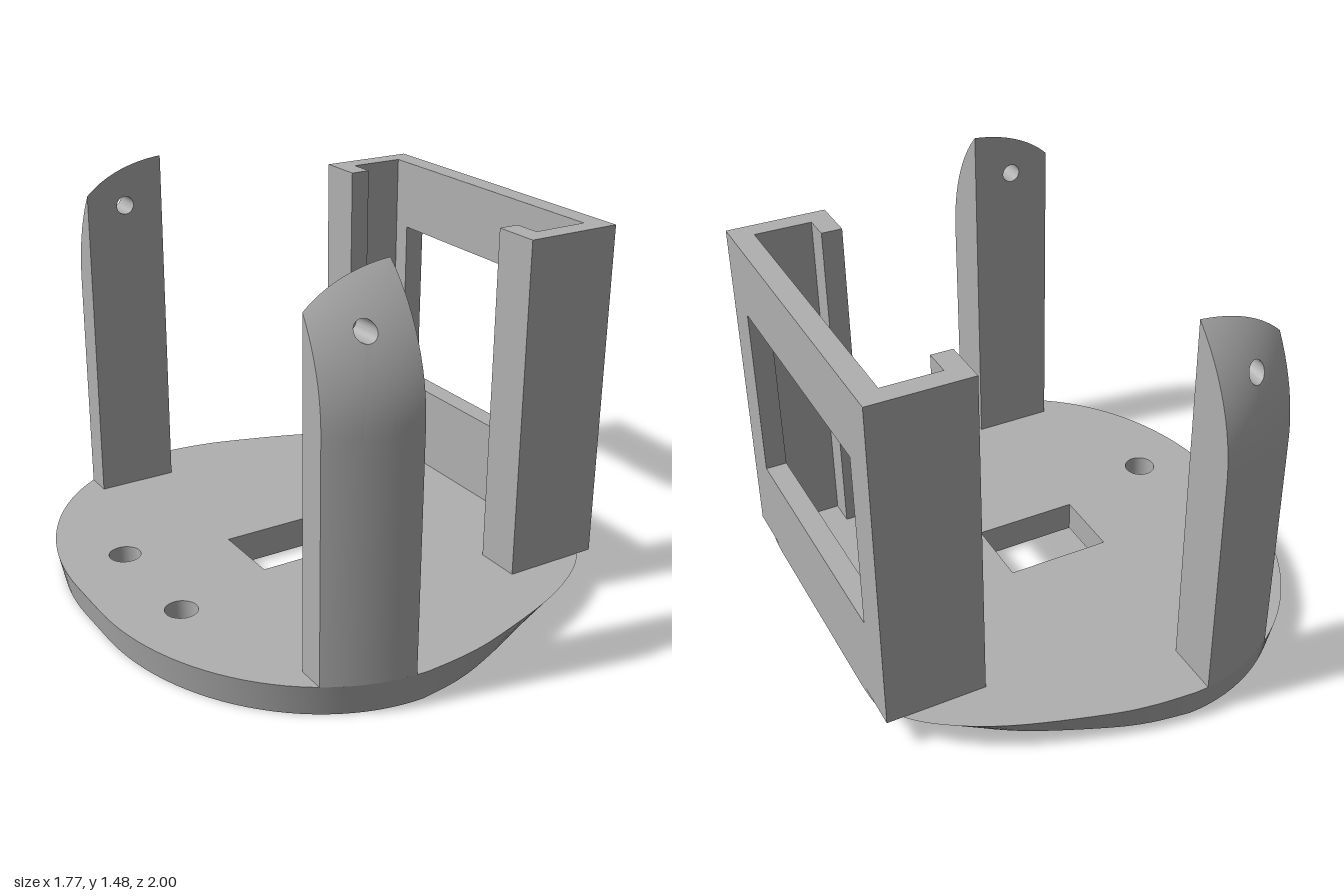
import * as THREE from 'three';
import { toCreasedNormals } from 'three/addons/utils/BufferGeometryUtils.js';

const V2 = (x, y) => new THREE.Vector2(x, y);
const lerp = THREE.MathUtils.lerp;

// Skin a sequence of closed loops of [x, y, z] points
function loft(rings, flip = false) {
  const n = rings[0].length, index = [];
  for (let k = 0; k < rings.length - 1; k++) {
    for (let i = 0; i < n; i++) {
      const j = (i + 1) % n;
      const a = k * n + i, b = k * n + j, c = (k + 1) * n + j, d = (k + 1) * n + i;
      if (flip) index.push(a, c, d, a, b, c);
      else index.push(a, d, c, a, c, b);
    }
  }
  const g = new THREE.BufferGeometry();
  g.setAttribute('position', new THREE.Float32BufferAttribute(rings.flat(2), 3));
  g.setIndex(index);
  return toCreasedNormals(g, 0.5);
}

function rect(x0, y0, x1, y1) {
  return [V2(x0, y0), V2(x1, y0), V2(x1, y1), V2(x0, y1)];
}

function circle(cx, cy, r, n = 32) {
  return Array.from({ length: n }, (_, i) => {
    const a = (i / n) * Math.PI * 2;
    return V2(cx + r * Math.cos(a), cy + r * Math.sin(a));
  });
}

// Plate dimensions
const PLATE_H = 0.12, CX = -0.12, CZ = 0.1;

// Symmetric plate outline: spline on the right, half ellipse on the left
function outline(right, a, b) {
  const half = new THREE.SplineCurve(right.map(p => V2(...p))).getPoints(36);
  for (let i = 1; i <= 28; i++) {
    const t = Math.PI / 2 * (1 + i / 28);
    half.push(V2(CX + a * Math.cos(t), CZ + b * Math.sin(t)));
  }
  return [...half, ...half.slice().reverse().map(p => V2(p.x, -p.y))];
}

export function createModel() {
  const model = new THREE.Group();
  const grey = new THREE.MeshStandardMaterial({ color: 0xb0b0b0 });
  grey.name = 'grey plastic';
  const add = (parent, name, geometry) => {
    const m = new THREE.Mesh(geometry, grey);
    m.name = name;
    parent.add(m);
    return m;
  };

  // Base plate with tapered rim, a slot and two screw holes
  const plate = new THREE.Group();
  plate.name = 'basePlate';
  model.add(plate);
  const top = outline([[0.88, 0.42], [0.87, 0.53], [0.82, 0.64], [0.7, 0.745], [0.5, 0.85],
    [0.2, 0.95], [0.04, 0.985], [CX, 1]], 0.77, 0.9);
  const bottom = outline([[0.77, 0.4], [0.755, 0.48], [0.7, 0.57], [0.6, 0.67], [0.43, 0.785],
    [0.18, 0.9], [0.03, 0.95], [CX, 0.975]], 0.745, 0.875);
  const holes = [rect(-0.25, -0.138, 0.15, 0.138), circle(-0.64, 0.235, 0.06), circle(-0.64, -0.235, 0.06)];
  const ring = (pts, y) => pts.map(p => [p.x, y, -p.y]);
  const cap = pts => {
    const s = new THREE.Shape(pts);
    s.holes = holes.map(h => new THREE.Path(h));
    return new THREE.ShapeGeometry(s);
  };
  const middle = top.map((p, i) => {
    const t = p.x > 0.86 ? 1 : 0.1 / PLATE_H;
    return V2(lerp(bottom[i].x, p.x, t), lerp(bottom[i].y, p.y, t));
  });
  add(plate, 'plateTop', cap(top).rotateX(-Math.PI / 2).translate(0, PLATE_H, 0));
  add(plate, 'plateBottom', cap(bottom).rotateX(Math.PI / 2));
  add(plate, 'plateRim', loft([ring(top, PLATE_H), ring(middle, 0.1), ring(bottom, 0)]));
  holes.forEach(h => add(plate, 'plateHoleWall', loft([ring(h, 0), ring(h, PLATE_H)])));

  // Curved posts: outer face follows the plate edge and bends inward at the top
  const X0 = -0.48, X1 = -0.17, INNER = 0.79, BEND = 0.653;
  const edge = x => CZ + 0.9 * Math.sqrt(1 - ((x - CX) / 0.77) ** 2);
  const topY = x => 1 + Math.sqrt(BEND ** 2 - (BEND - edge(x) + INNER) ** 2);
  const outerZ = (x, y) => edge(x) - (y > 1 ? BEND - Math.sqrt(BEND ** 2 - (y - 1) ** 2) : 0);
  const border = [];
  const side = (n, f) => { for (let i = 0; i < n; i++) border.push(f(i / n)); };
  side(12, t => V2(lerp(X0, X1, t), PLATE_H));
  side(36, t => V2(X1, lerp(PLATE_H, topY(X1), t)));
  side(16, t => { const x = lerp(X1, X0, t); return V2(x, topY(x)); });
  side(36, t => V2(X0, lerp(topY(X0), PLATE_H, t)));
  const hole = border.map(p => {
    const a = Math.atan2(p.y - 1.3, p.x + 0.325);
    return V2(-0.325 + 0.035 * Math.cos(a), 1.3 + 0.035 * Math.sin(a));
  });
  for (const s of [1, -1]) {
    const flat = pts => pts.map(p => [p.x, p.y, s * INNER]);
    const rings = [flat(hole)];
    for (let k = 0; k <= 24; k++) {
      rings.push(border.map((p, i) => {
        const x = lerp(hole[i].x, p.x, k / 24), y = lerp(hole[i].y, p.y, k / 24);
        return [x, y, s * outerZ(x, y)];
      }));
    }
    rings.push(flat(border), flat(hole));
    add(model, s > 0 ? 'frontPost' : 'backPost', loft(rings, s < 0));
  }

  // Holder frame: windowed outer wall and two lipped side rails
  const frame = new THREE.Group();
  frame.name = 'holderFrame';
  model.add(frame);
  const FRAME_TOP = 1.39;
  const wall = new THREE.Shape(rect(-0.64, PLATE_H, 0.64, FRAME_TOP));
  wall.holes.push(new THREE.Path(rect(-0.492, 0.45, 0.492, 1.122)));
  add(frame, 'windowWall', new THREE.ExtrudeGeometry(wall, { depth: 0.08, bevelEnabled: false })
    .rotateY(Math.PI / 2).translate(0.8, 0, 0));
  for (const s of [1, -1]) {
    const rail = new THREE.Shape([[0.8, 0.64], [0.51, 0.64], [0.51, 0.465], [0.588, 0.465],
      [0.588, 0.565], [0.8, 0.565]].map(([x, z]) => V2(x, s * z)));
    add(frame, 'sideRail', new THREE.ExtrudeGeometry(rail, { depth: FRAME_TOP - PLATE_H, bevelEnabled: false })
      .rotateX(-Math.PI / 2).translate(0, PLATE_H, 0));
  }
  return model;
}
